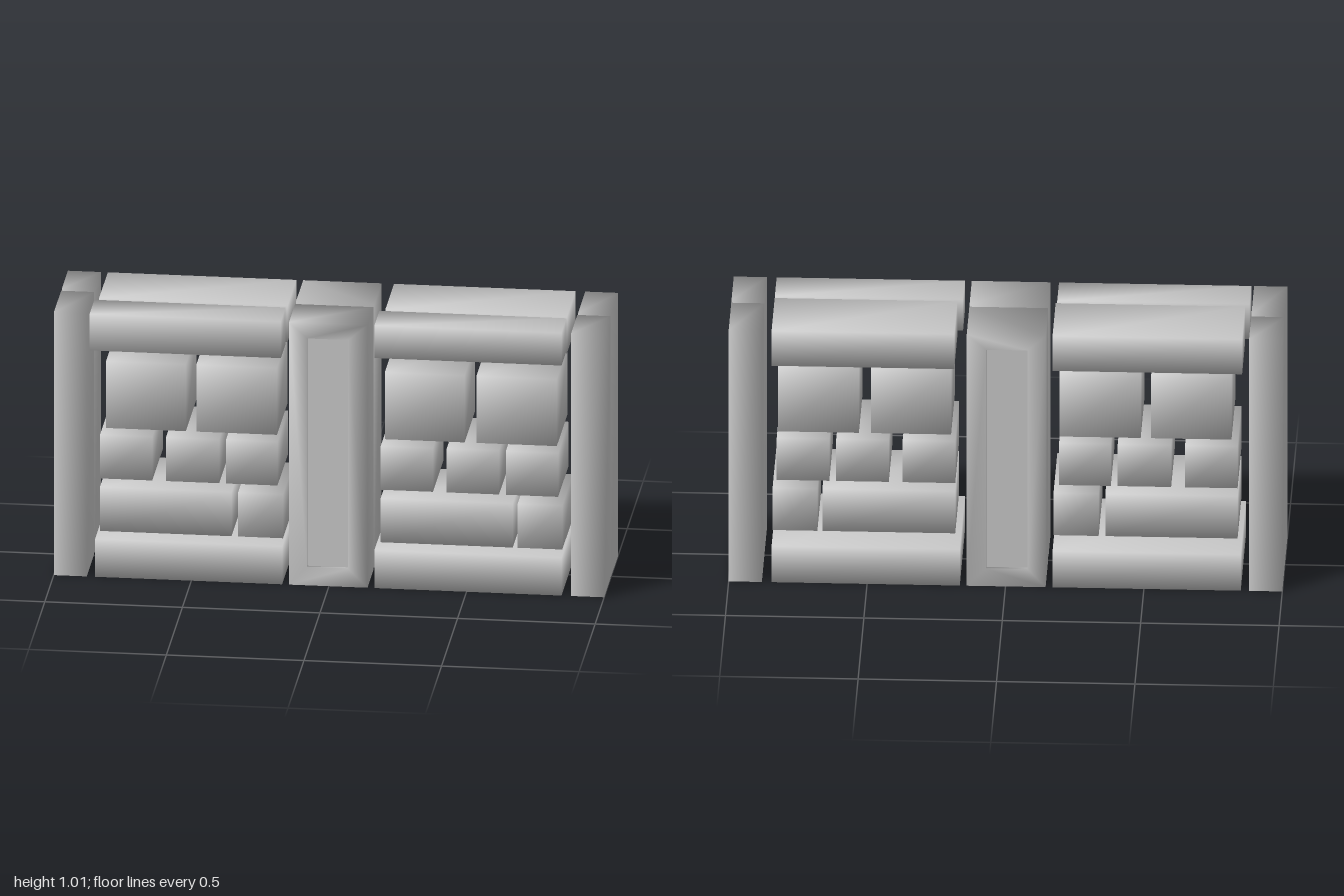
import * as THREE from 'three';
import { mergeVertices } from 'three/addons/utils/BufferGeometryUtils.js';

const material = new THREE.MeshStandardMaterial({ color: 0xcccccc });

// Box from min/max ranges, welded so the shading rolls softly around its edges
function block(name, [x0, x1], [y0, y1], [z0, z1]) {
  let geo = new THREE.BoxGeometry(x1 - x0, y1 - y0, z1 - z0);
  geo.deleteAttribute('normal');
  geo.deleteAttribute('uv');
  geo = mergeVertices(geo);
  geo.computeVertexNormals();
  const mesh = new THREE.Mesh(geo, material);
  mesh.name = name;
  mesh.position.set((x0 + x1) / 2, (y0 + y1) / 2, (z0 + z1) / 2);
  return mesh;
}

// Pillar half: rectangular loops from inner face to outer face, then into a shallow panel
function panelPillar(name, zInner, zOuter) {
  const outward = Math.sign(zOuter - zInner);
  const outer = [-0.145, 0.14, 0, 1.01], panel = [-0.08, 0.07, 0.07, 0.95];
  const loops = [[outer, zInner], [outer, zOuter], [panel, zOuter], [panel, zOuter - 0.015 * outward]];
  const points = [], index = [];
  for (const [[x0, x1, y0, y1], z] of loops)
    points.push(x0, y0, z, x1, y0, z, x1, y1, z, x0, y1, z);
  const quad = (a, b, c, d) =>
    outward > 0 ? index.push(a, b, c, a, c, d) : index.push(a, c, b, a, d, c);
  for (let k = 0; k < 3; k++)
    for (let i = 0; i < 4; i++) {
      const j = (i + 1) % 4;
      quad(4 * k + i, 4 * k + j, 4 * k + 4 + j, 4 * k + 4 + i);
    }
  quad(3, 2, 1, 0);
  const geo = new THREE.BufferGeometry();
  geo.setAttribute('position', new THREE.Float32BufferAttribute(points, 3));
  geo.setIndex(index);
  geo.computeVertexNormals();
  // the panel floor stays flat-shaded, separate from its walls
  const floor = new THREE.Mesh(new THREE.PlaneGeometry(0.15, 0.88), material);
  floor.name = name + 'Panel';
  floor.position.set(-0.005, 0.51, zOuter - 0.015 * outward);
  if (outward < 0) floor.rotation.y = Math.PI;
  const mesh = new THREE.Mesh(geo, material);
  mesh.name = name;
  mesh.add(floor);
  return mesh;
}

export function createModel() {
  const wall = new THREE.Group();
  wall.name = 'stoneWall';

  // End posts, split into a front and a back half
  const full = [0, 1.01];
  wall.add(
    block('leftFrontPost', [0.88, 1], full, [0.025, 0.22]),
    block('leftBackPost', [0.88, 1], full, [-0.22, 0.005]),
    block('rightFrontPost', [-1, -0.88], full, [-0.01, 0.22]),
    block('rightBackPost', [-1, -0.88], full, [-0.22, -0.03]),
  );

  // Centre pillar
  wall.add(panelPillar('frontPillar', 0.03, 0.22), panelPillar('backPillar', 0.008, -0.22));

  // Top beams and full-depth base slabs
  wall.add(
    block('rightFrontBeam', [-0.87, -0.175], [0.87, 1.01], [0.07, 0.22]),
    block('rightBackBeam', [-0.855, -0.17], [0.87, 1.01], [-0.22, 0.05]),
    block('leftFrontBeam', [0.165, 0.845], [0.885, 1.01], [0.065, 0.22]),
    block('leftBackBeam', [0.185, 0.845], [0.87, 1.01], [-0.22, 0.05]),
    block('rightBaseSlab', [-0.85, -0.17], [0, 0.145], [-0.22, 0.22]),
    block('leftBaseSlab', [0.165, 0.845], [0, 0.145], [-0.22, 0.22]),
  );

  // Infill stones, row by row
  const rows = [
    { name: 'largeStone', y: [0.565, 0.822], x: [[-0.813, -0.523], [-0.485, -0.192], [0.2, 0.49], [0.533, 0.825]] },
    { name: 'smallStone', y: [0.37, 0.538], x: [[-0.835, -0.645], [-0.595, -0.402], [-0.377, -0.19],
      [0.185, 0.375], [0.425, 0.615], [0.64, 0.83]] },
    { name: 'lowerStone', y: [0.168, 0.337], x: [[-0.835, -0.357], [-0.333, -0.17], [0.185, 0.665], [0.683, 0.845]] },
  ];
  for (const row of rows)
    row.x.forEach((x, i) => wall.add(block(row.name + (i + 1), x, row.y, [-0.135, 0.195])));

  return wall;
}
